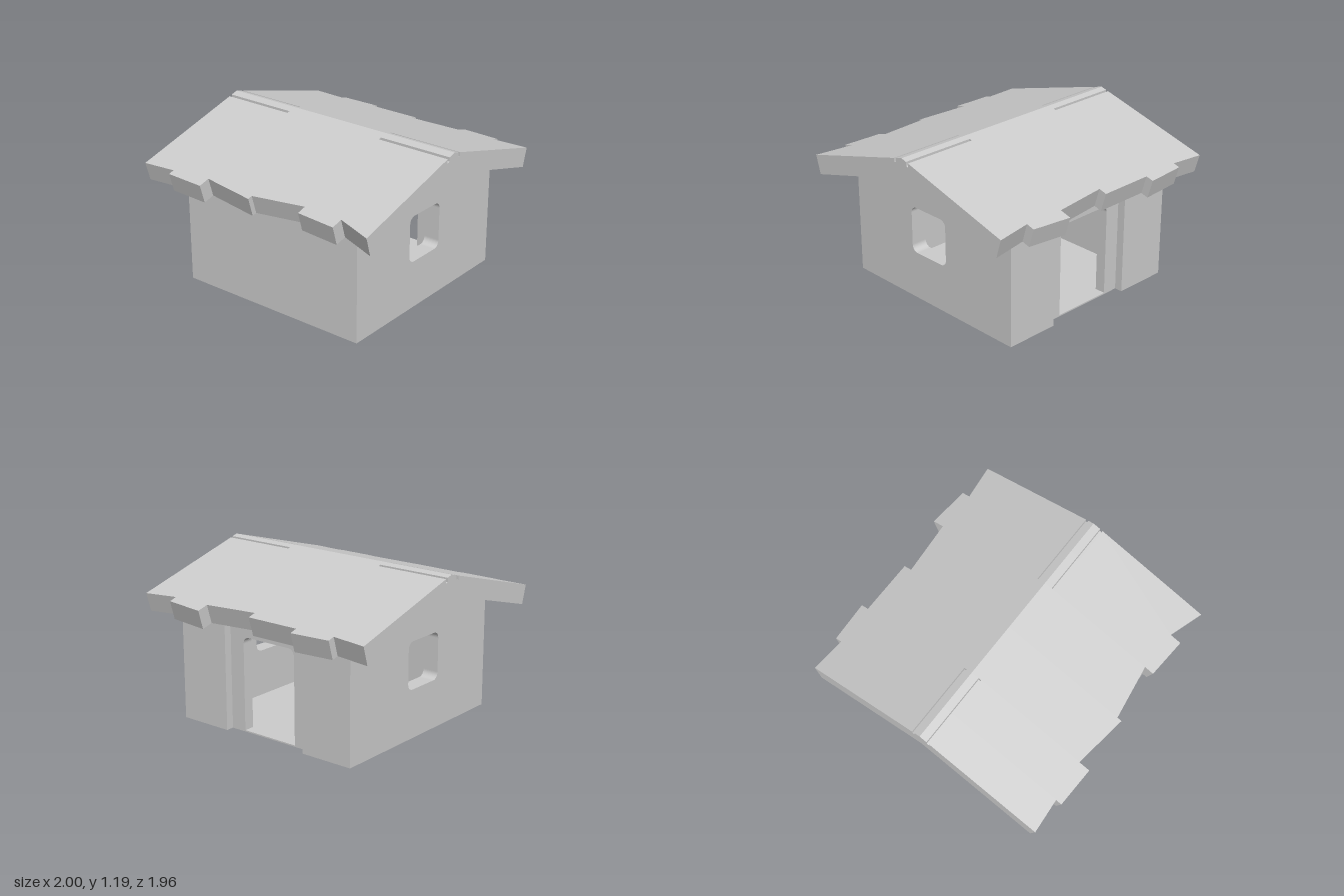
import * as THREE from 'three';

const material = new THREE.MeshStandardMaterial({ color: 0xcccccc });

// Roof cross-section constants
const SLOPE = 0.28, RIDGE = 1.19, UNDER = 1.04;
const GROOVE = { '1': [0.045, 0.065], '-1': [0.057, 0.08] };
const GROOVE_DEPTH = 0.03;
const topY = (x) => RIDGE - SLOPE * Math.abs(x);

// Eave corner points; the end face is square to the slope
const eaveTop = (x) => [x, topY(x)];
const eaveBottom = (x) => {
  const bx = x - Math.sign(x) * 0.04;
  return [bx, UNDER - SLOPE * Math.abs(bx)];
};

// Four corners of one ridge groove, from the outer lip to the inner lip
function groovePoints(side) {
  const [a, b] = GROOVE[side];
  return [
    [side * b, topY(b)], [side * b, topY(b) - GROOVE_DEPTH],
    [side * a, topY(a) - GROOVE_DEPTH], [side * a, topY(a)],
  ];
}

// Counter-clockwise roof section between a left and a right eave
function roofSection(xMin, xMax, grooved) {
  return [
    eaveTop(xMax), ...(grooved ? groovePoints(1) : []), [0, RIDGE],
    ...(grooved ? groovePoints(-1).reverse() : []), eaveTop(xMin),
    eaveBottom(xMin), [0, UNDER], eaveBottom(xMax),
  ];
}

function roofGeometry() {
  // z start, z end, -x eave at both, +x eave at both, grooved
  const rows = [
    [-0.98, -0.72, -0.965, -0.945, 0.955, 0.93, true],
    [-0.72, -0.415, -0.99, -1.0, 0.98, 0.997, true],
    [-0.415, 0, -0.915, -0.97, 0.94, 0.94, false],
    [0, 0.41, -0.935, -0.875, 0.88, 0.915, false],
    [0.41, 0.715, -0.945, -0.965, 1.0, 0.97, true],
    [0.715, 0.98, -0.88, -0.96, 0.91, 0.945, true],
  ];
  const positions = [];
  const tri = (a, b, c) => positions.push(...a, ...b, ...c);
  const quad = (a, b, c, d) => { tri(a, b, c); tri(a, c, d); };
  const at = (p, z) => [p[0], p[1], z];
  const flatQuad = (points, z, flip) => {
    const corners = points.map((p) => at(p, z));
    quad(...(flip ? corners.reverse() : corners));
  };
  const cap = (section, z, flip) => {
    const contour = section.map((p) => new THREE.Vector2(...p));
    for (const [a, b, c] of THREE.ShapeUtils.triangulateShape(contour, [])) {
      const [i, j, k] = flip ? [c, b, a] : [a, b, c];
      tri(at(section[i], z), at(section[j], z), at(section[k], z));
    }
  };

  rows.forEach(([z0, z1, l0, l1, r0, r1, grooved], n) => {
    const start = roofSection(l0, r0, grooved);
    const end = roofSection(l1, r1, grooved);
    start.forEach((p, i) => {
      const j = (i + 1) % start.length;
      quad(at(end[i], z1), at(p, z0), at(start[j], z0), at(end[j], z1));
    });
    if (n === 0) cap(start, z0, true);
    const next = rows[n + 1];
    if (!next) return cap(end, z1, false);

    // Steps in the ragged eaves, and the closed ends of the grooves
    for (const [a, b, side] of [[l1, next[2], -1], [r1, next[4], 1]]) {
      flatQuad([eaveTop(a), eaveTop(b), eaveBottom(b), eaveBottom(a)], z1, side < 0);
      if (grooved !== next[6]) flatQuad(groovePoints(side), z1, (side > 0) !== grooved);
    }
  });

  const geometry = new THREE.BufferGeometry();
  geometry.setAttribute('position', new THREE.Float32BufferAttribute(positions, 3));
  geometry.computeVertexNormals();
  return geometry;
}

// Rectangular window opening with rounded corners
function windowHole(x0, x1, y0, y1, r) {
  const hole = new THREE.Path();
  hole.absarc(x1 - r, y1 - r, r, 0, Math.PI / 2);
  hole.absarc(x0 + r, y1 - r, r, Math.PI / 2, Math.PI);
  hole.absarc(x0 + r, y0 + r, r, Math.PI, Math.PI * 1.5);
  hole.absarc(x1 - r, y0 + r, r, Math.PI * 1.5, Math.PI * 2);
  hole.closePath();
  return hole;
}

const extrude = (shape, depth) =>
  new THREE.ExtrudeGeometry(shape, { depth, bevelEnabled: false, curveSegments: 6 });

export function createModel() {
  const model = new THREE.Group();
  model.name = 'house';
  const add = (name, geometry) => {
    const mesh = new THREE.Mesh(geometry, material);
    mesh.name = name;
    model.add(mesh);
    return mesh;
  };
  // Box given by its lowest and highest corners
  const addBox = (name, [x0, y0, z0], [x1, y1, z1]) =>
    add(name, new THREE.BoxGeometry(x1 - x0, y1 - y0, z1 - z0))
      .position.set((x0 + x1) / 2, (y0 + y1) / 2, (z0 + z1) / 2);

  // Gable walls with a window, tucked slightly into the roof
  const left = 0.81, right = -0.77, depth = 0.76, thick = 0.12, inner = depth - thick;
  const tuck = (x) => UNDER + 0.02 - SLOPE * Math.abs(x);
  const gable = new THREE.Shape([
    [right, 0], [left, 0], [left, tuck(left)], [0, tuck(0)], [right, tuck(right)],
  ].map((p) => new THREE.Vector2(...p)));
  gable.holes.push(windowHole(-0.18, 0.17, 0.36, 0.71, 0.05));
  const gableGeometry = extrude(gable, thick);
  add('frontWall', gableGeometry).position.z = inner;
  add('backWall', gableGeometry).position.z = -depth;

  // Plain side wall
  addBox('rightWall', [right, 0, -inner], [right + 0.13, 0.87, inner]);

  // Door side: two thick piers with a recessed door panel between them
  const panelIn = 0.67, panelOut = 0.75, recess = 0.35, door = 0.23, r = 0.05;
  for (const [name, z0, z1] of [['doorPierFront', recess, inner], ['doorPierBack', -inner, -recess]]) {
    addBox(name, [panelIn, 0, z0], [left, 0.85, z1]);
  }
  const panel = new THREE.Shape();
  panel.moveTo(recess, 0).lineTo(recess, 0.87).lineTo(-recess, 0.87).lineTo(-recess, 0).lineTo(-door, 0);
  panel.lineTo(-door, 0.7 - r);
  panel.absarc(-door + r, 0.7 - r, r, Math.PI, Math.PI / 2, true);
  panel.absarc(door - r, 0.7 - r, r, Math.PI / 2, 0, true);
  panel.lineTo(door, 0);
  add('doorPanel', extrude(panel, panelOut - panelIn).rotateY(Math.PI / 2)).position.x = panelIn;

  // Thin floor and door threshold
  addBox('floor', [right + 0.13, 0, -inner], [panelIn, 0.01, inner]);
  addBox('threshold', [panelIn, 0, -door], [panelOut, 0.01, door]);

  add('roof', roofGeometry());
  return model;
}
